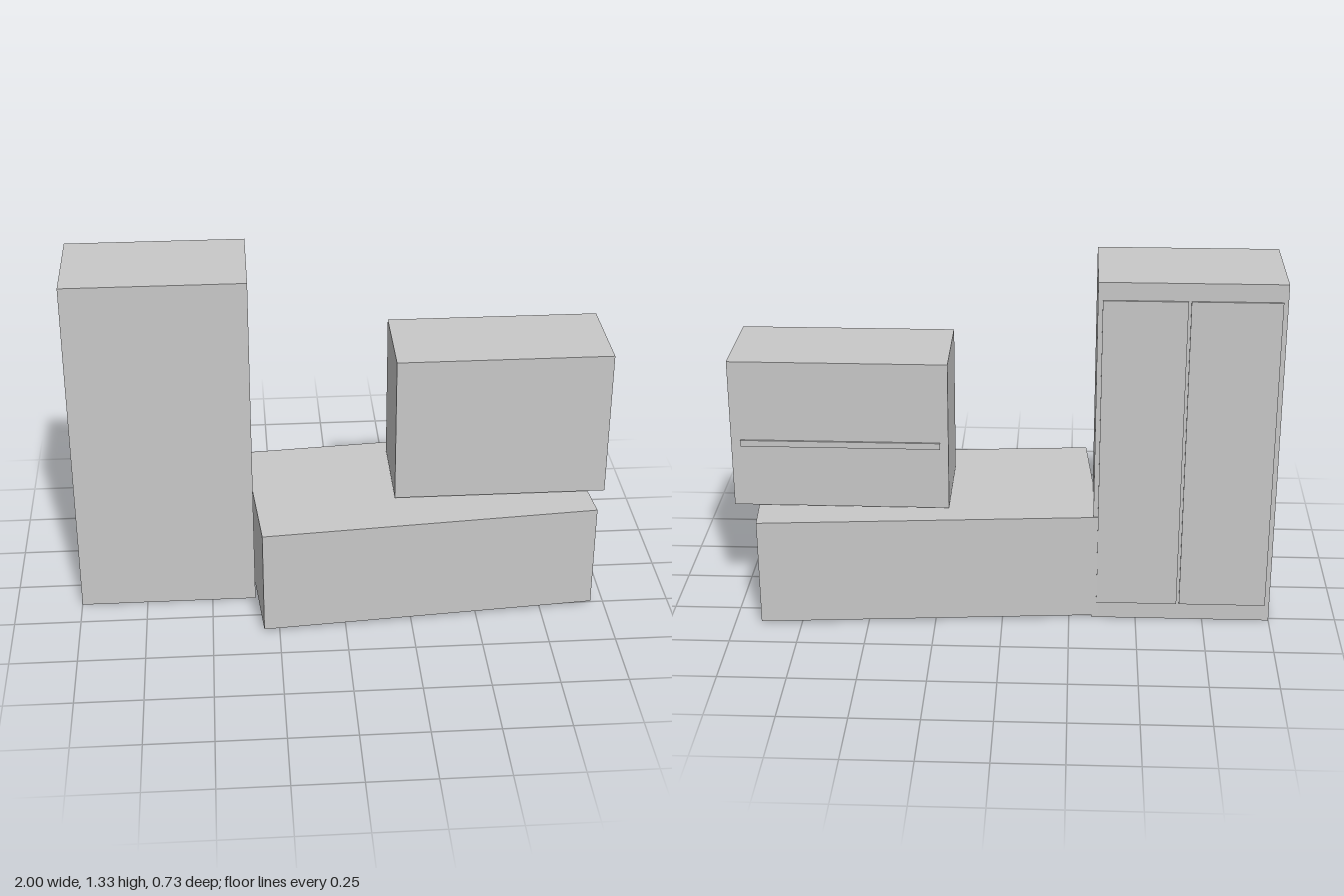
import * as THREE from 'three';

export function createModel() {
  const model = new THREE.Group();
  const grey = new THREE.MeshStandardMaterial({ color: 0xc8c8c8 });
  grey.name = 'light grey';

  // Box given by its extents on each axis
  function block(name, [x0, x1], [y0, y1], [z0, z1]) {
    const mesh = new THREE.Mesh(new THREE.BoxGeometry(x1 - x0, y1 - y0, z1 - z0), grey);
    mesh.name = name;
    mesh.position.set((x0 + x1) / 2, (y0 + y1) / 2, (z0 + z1) / 2);
    model.add(mesh);
    return mesh;
  }

  // Tall cabinet with two thin doors on its back
  block('tallCabinet', [-1, -0.335], [0, 1.333], [-0.265, 0.135]);
  block('doorRight', [-0.983, -0.662], [0.066, 1.267], [-0.272, -0.265]);
  block('doorLeft', [-0.652, -0.352], [0.066, 1.267], [-0.272, -0.265]);

  // Low counter, turned slightly against the cabinet
  const counter = block('counter', [-0.335, 0.927], [0.01, 0.42], [-0.318, 0.311]);
  counter.rotation.y = 0.08;

  // Upper box with a long strip handle on its back
  block('upperBox', [0.2, 1], [0.43, 1], [-0.23, 0.135]);
  block('stripHandle', [0.23, 0.965], [0.669, 0.693], [-0.237, -0.23]);

  return model;
}
